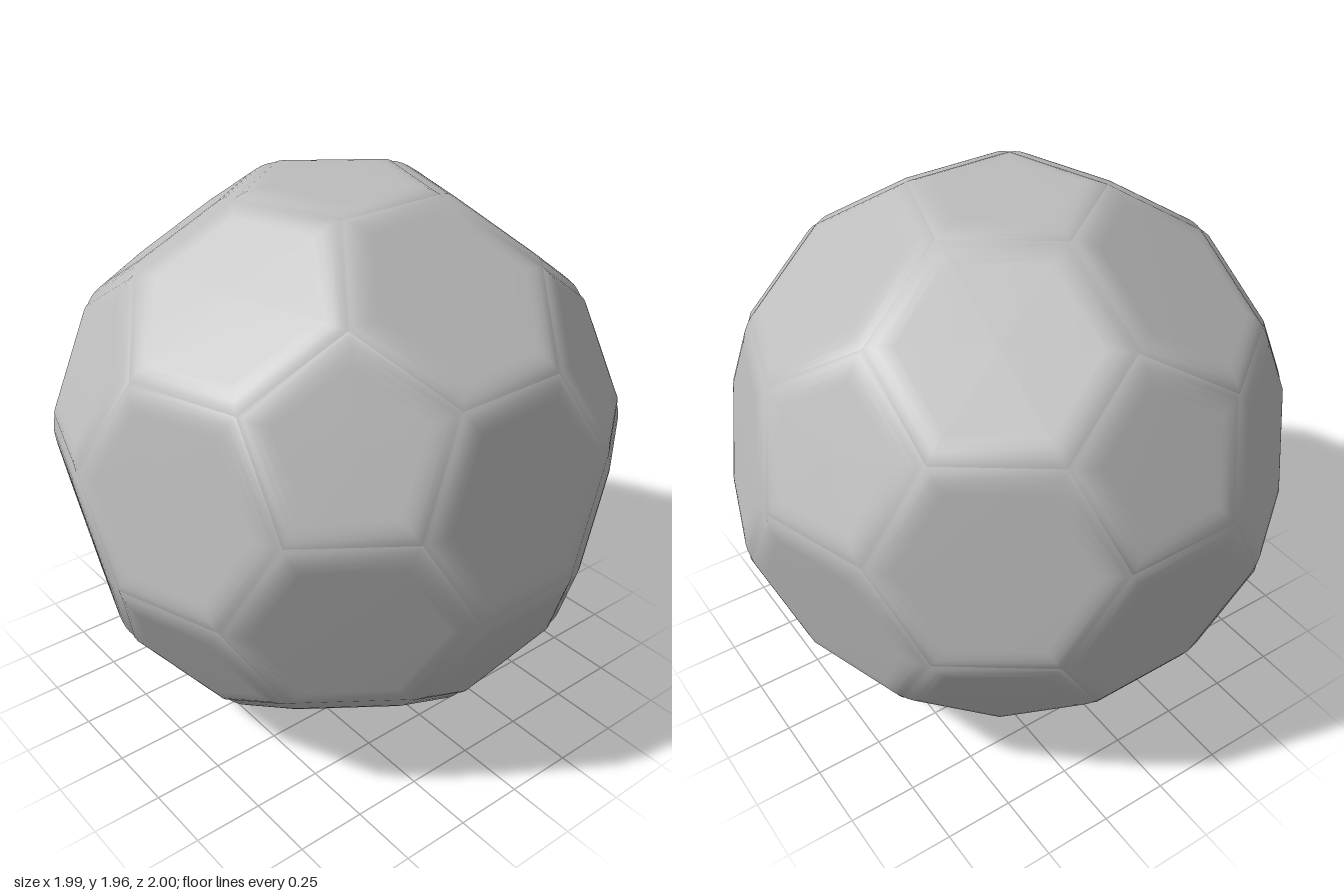
import * as THREE from 'three';

const RADIUS = 1.02;   // centre to seam corners
const CENTRE_Y = 0.981;
// padded panel profile: [inset from the seam, height above the seam plane]
const PROFILE = [[0, 0], [0.015, 0.009], [0.035, 0.017], [0.06, 0.021], [0.085, 0.0225]];
const CROWN = 0.0235;

// twelve directions: two poles and two staggered rings of five
function icosahedronPoints() {
  const points = [new THREE.Vector3(0, 1, 0), new THREE.Vector3(0, -1, 0)];
  const h = 1 / Math.sqrt(5), r = 2 * h;
  for (let i = 0; i < 5; i++) {
    const a = i * Math.PI * 0.4;
    points.push(new THREE.Vector3(-r * Math.cos(a), h, -r * Math.sin(a)));
    points.push(new THREE.Vector3(r * Math.cos(a), -h, r * Math.sin(a)));
  }
  return points;
}

// one padded panel from its seam corners
function panelGeometry(corners) {
  const n = corners.length;
  const centre = corners.reduce((s, c) => s.add(c), new THREE.Vector3()).divideScalar(n);
  const normal = centre.clone().normalize();
  const u = corners[0].clone().sub(centre).normalize();
  const v = normal.clone().cross(u);
  const angle = (p) => Math.atan2(p.clone().sub(centre).dot(v), p.clone().sub(centre).dot(u));
  const loop = [...corners].sort((a, b) => angle(a) - angle(b));
  const apothem = loop[0].distanceTo(centre) * Math.cos(Math.PI / n);

  const pos = [], index = [];
  for (const [inset, height] of PROFILE) {
    for (const c of loop) {
      const p = centre.clone().lerp(c, 1 - inset / apothem).addScaledVector(normal, height);
      pos.push(p.x, p.y, p.z);
    }
  }
  const top = centre.clone().addScaledVector(normal, CROWN);
  pos.push(top.x, top.y, top.z);

  const last = PROFILE.length - 1, apex = n * PROFILE.length;
  for (let i = 0; i < n; i++) {
    const j = (i + 1) % n;
    for (let k = 0; k < last; k++) {
      const a = k * n + i, b = k * n + j;
      index.push(a, b, b + n, a, b + n, a + n);
    }
    index.push(last * n + i, last * n + j, apex);
  }
  const geo = new THREE.BufferGeometry();
  geo.setAttribute('position', new THREE.Float32BufferAttribute(pos, 3));
  geo.setIndex(index);
  geo.computeVertexNormals();
  return geo;
}

export function createModel() {
  const group = new THREE.Group();
  group.name = 'ball';
  const grey = new THREE.MeshStandardMaterial({ color: 0xbcbcbc });
  grey.name = 'grey leather';

  const pts = icosahedronPoints();
  const adjacent = (a, b) => a !== b && a.dot(b) > 0.4;
  // seam corner on the edge from a to b, nearer to a
  const corner = (a, b) => a.clone().multiplyScalar(2).add(b).setLength(RADIUS);
  const addPanel = (name, corners) => {
    const mesh = new THREE.Mesh(panelGeometry(corners), grey);
    mesh.name = name;
    mesh.position.y = CENTRE_Y;
    group.add(mesh);
  };

  // pentagons on the twelve points
  for (const a of pts) {
    addPanel('pentagonPanel', pts.filter((b) => adjacent(a, b)).map((b) => corner(a, b)));
  }

  // hexagons between each three neighbouring points
  for (let i = 0; i < 12; i++) {
    for (let j = i + 1; j < 12; j++) {
      for (let k = j + 1; k < 12; k++) {
        const [a, b, c] = [pts[i], pts[j], pts[k]];
        if (!adjacent(a, b) || !adjacent(b, c) || !adjacent(a, c)) continue;
        addPanel('hexagonPanel', [corner(a, b), corner(b, a), corner(b, c),
          corner(c, b), corner(c, a), corner(a, c)]);
      }
    }
  }
  return group;
}
